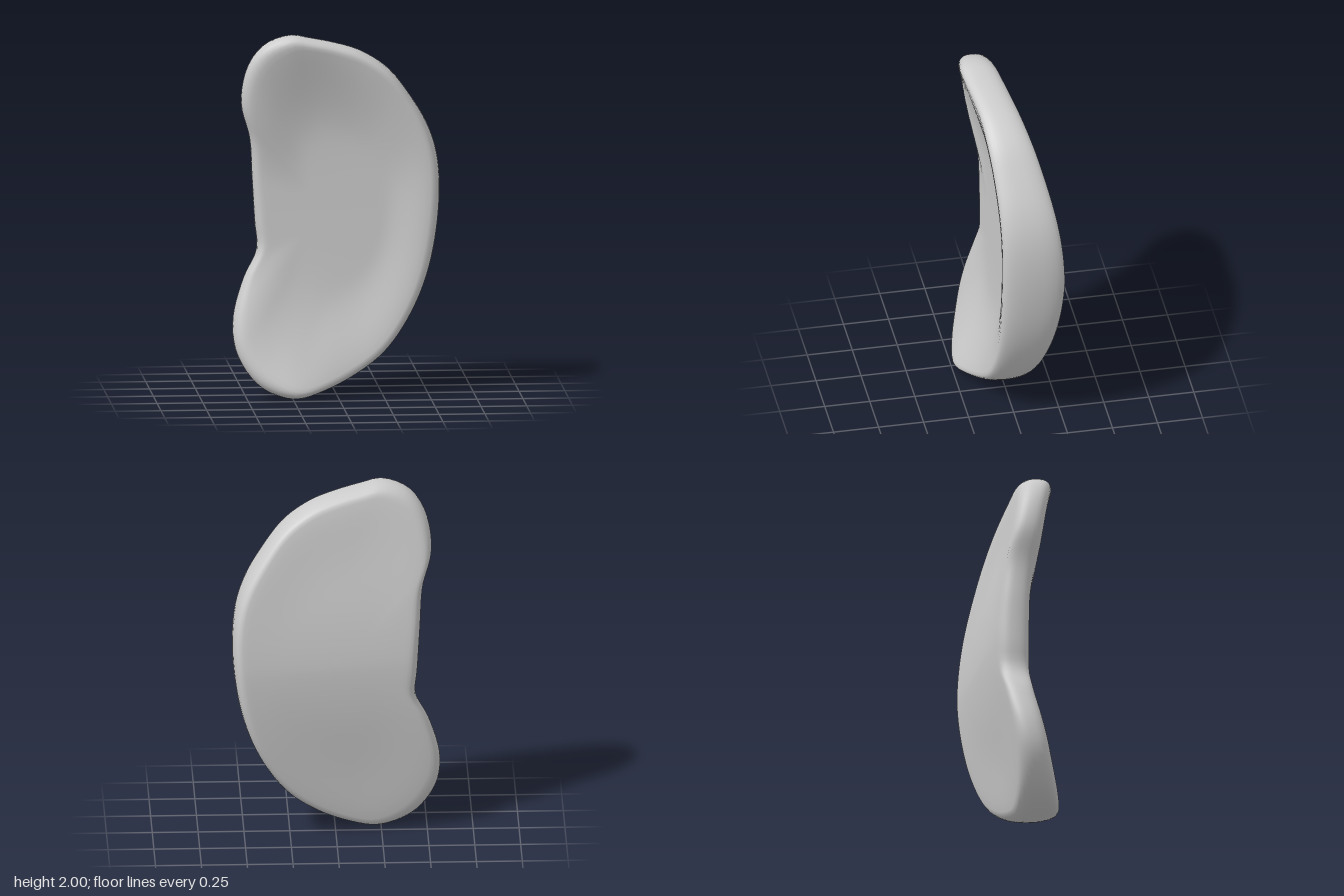
import * as THREE from 'three';
import { mergeVertices } from 'three/addons/utils/BufferGeometryUtils.js';

// Kidney-shaped outline, counter-clockwise from the bottom
const OUTLINE = [
  [-0.25, 0], [-0.1, 0.03], [0.1, 0.12], [0.27, 0.25], [0.42, 0.47], [0.515, 0.72],
  [0.565, 1.05], [0.555, 1.3], [0.505, 1.47], [0.4, 1.65], [0.28, 1.8], [0.13, 1.9],
  [0, 1.945], [-0.15, 1.98], [-0.26, 2], [-0.4, 1.95], [-0.49, 1.83], [-0.525, 1.62],
  [-0.475, 1.42], [-0.46, 1.2], [-0.445, 0.95], [-0.435, 0.8], [-0.51, 0.64],
  [-0.57, 0.42], [-0.55, 0.24], [-0.43, 0.07],
];
const CENTRE = new THREE.Vector2(0.05, 1);
const AROUND = 120, FACE_RINGS = 16, RIM_RINGS = 14;
const { lerp, smoothstep } = THREE.MathUtils;

// Front rim is level along the middle and curls forward at both ends,
// most of all at the narrow ends on the -x side
function frontZ(x, y) {
  const d = y - 1, right = smoothstep(x, -0.3, 0.15);
  const curl = d < 0 ? lerp(0.165, 0.07, right) : lerp(0.11, 0.07, right);
  return 0.11 + curl * Math.abs(d) ** 3;
}

// Back face bulges along its height and leans back towards +x
function backZ(x, y) {
  return -(0.162 + 0.14 * x) + 0.14 * Math.abs(y - 1) ** 1.6;
}

// 1 on the indented side edge, where the front hollow runs out without a lip
function openness(p) {
  return smoothstep(-p.x, 0.1, 0.42) * (1 - smoothstep(Math.abs(p.y - 1), 0.2, 0.75));
}

// Signed power gives the rim a squarish rounded section
const spow = (v, p) => Math.sign(v) * Math.abs(v) ** p;

function buildPad() {
  const curve = new THREE.CatmullRomCurve3(
    OUTLINE.map(([x, y]) => new THREE.Vector3(x, y, 0)), true);
  const edge = curve.getSpacedPoints(AROUND).slice(0, AROUND);

  // Rings run from the back centre, over the rim, to the front centre
  const rings = [];
  for (let i = 0; i < FACE_RINGS; i++) rings.push({ s: i / FACE_RINGS, a: -Math.PI / 2 });
  for (let i = 0; i <= RIM_RINGS; i++) rings.push({ s: 1, a: (i / RIM_RINGS - 0.5) * Math.PI });
  for (let i = FACE_RINGS - 1; i >= 0; i--) rings.push({ s: i / FACE_RINGS, a: Math.PI / 2 });

  const pos = [], index = [];
  rings.forEach(({ s, a }, r) => {
    const inset = 1 - spow(Math.max(Math.cos(a), 0), 0.75);
    const mix = (1 + spow(Math.sin(a), 0.85)) / 2;
    const lip = smoothstep(s, 0.45, 1);
    edge.forEach((e, k) => {
      const dx = e.x - CENTRE.x, dy = e.y - CENTRE.y, open = openness(e);
      const left = smoothstep(-e.x, 0.1, 0.5) * (1 - open);
      const radius = 0.06 + (a < 0 ? 0.03 : 0.06) * left;
      const f = s * (1 - radius * inset / Math.hypot(dx, dy));
      const x = CENTRE.x + dx * f, y = CENTRE.y + dy * f;
      const zb = backZ(x, y) + 0.05 * (y - 1) ** 2 * (1 - lip);
      const zf = frontZ(x, y) - 0.045 * (1 - lip * (1 - open));
      pos.push(x, y, lerp(zb, zf, mix));
      if (r < rings.length - 1) {
        const n = (k + 1) % AROUND, lo = r * AROUND, hi = lo + AROUND;
        if (r > 0) index.push(lo + k, lo + n, hi + n);
        if (r < rings.length - 2) index.push(lo + k, hi + n, hi + k);
        else index.push(lo + k, lo + n, hi + k);
      }
    });
  });

  // Weld the two face centres so the normals stay smooth
  let geo = new THREE.BufferGeometry();
  geo.setAttribute('position', new THREE.Float32BufferAttribute(pos, 3));
  geo.setIndex(index);
  geo = mergeVertices(geo, 1e-5);
  geo.computeVertexNormals();
  return geo;
}

export function createModel() {
  const group = new THREE.Group();
  group.name = 'kidneyShapedPad';
  const pad = new THREE.Mesh(buildPad(), new THREE.MeshStandardMaterial({ color: 0xcccccc }));
  pad.name = 'curvedPad';
  group.add(pad);
  return group;
}
